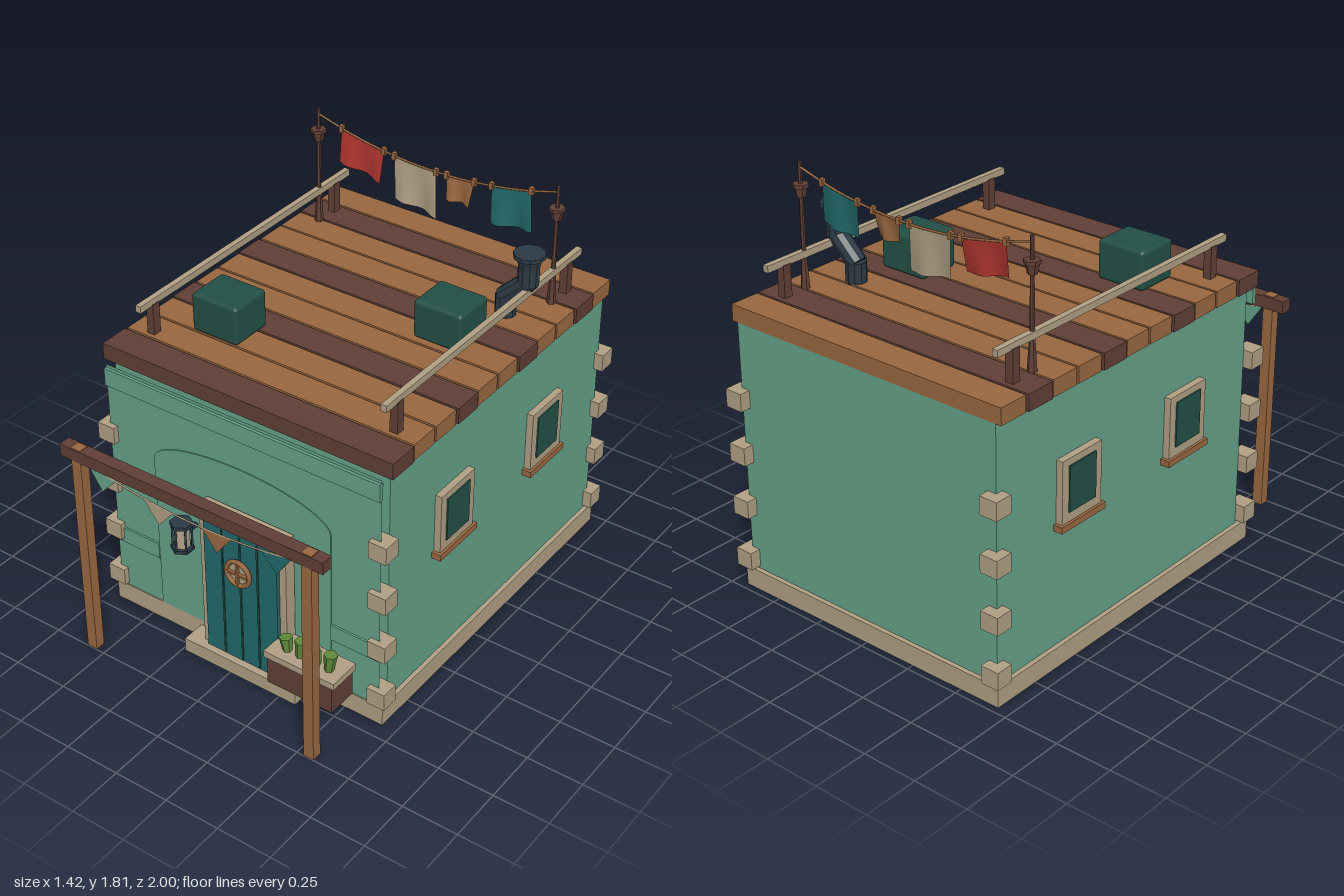
import * as THREE from 'three';
import { RoundedBoxGeometry } from 'three/addons/geometries/RoundedBoxGeometry.js';

const mat = (name, color, side = THREE.FrontSide) =>
  Object.assign(new THREE.MeshStandardMaterial({ color, side }), { name });

export function createModel() {
  const root = new THREE.Group();
  root.name = 'rooftopHouse';
  const D = THREE.DoubleSide;
  const plaster = mat('green plaster', 0x64a088);
  const darkWood = mat('dark wood', 0x603f36);
  const wood = mat('warm wood', 0x986740, D);
  const stone = mat('pale stone', 0xaf9f84, D);
  const teal = mat('teal paint', 0x22696b, D);
  const bottle = mat('bottle green', 0x224f45);
  const slate = mat('slate metal', 0x2c3a45);
  const red = mat('red cloth', 0xb0352f, D);
  const leaf = mat('leaf green', 0x5f8a3c);

  // Helpers: facet gives hard edges, box takes min/max ranges
  const facet = (g) => {
    const f = g.index ? g.toNonIndexed() : g;
    f.computeVertexNormals();
    return f;
  };
  const add = (name, geo, m, x = 0, y = 0, z = 0, parent = root) => {
    const mesh = new THREE.Mesh(geo, m);
    mesh.name = name;
    mesh.position.set(x, y, z);
    parent.add(mesh);
    return mesh;
  };
  const box = (name, m, [x0, x1], [y0, y1], [z0, z1], parent = root) =>
    add(name, new THREE.BoxGeometry(x1 - x0, y1 - y0, z1 - z0), m,
      (x0 + x1) / 2, (y0 + y1) / 2, (z0 + z1) / 2, parent);
  const cyl = (name, m, rTop, rBottom, y0, y1, x, z, sides = 6, parent = root) =>
    add(name, facet(new THREE.CylinderGeometry(rTop, rBottom, y1 - y0, sides)), m, x, (y0 + y1) / 2, z, parent);
  const tube = (name, m, curve, r, seg = 24) =>
    add(name, new THREE.TubeGeometry(curve, seg, r, 6, false), m);

  // Base, step and walls
  box('base', stone, [-0.69, 0.685], [0, 0.09], [-0.97, 0.68]);
  box('doorStep', stone, [-0.235, 0.333], [0, 0.065], [0.66, 0.787]);
  box('walls', plaster, [-0.67, 0.665], [0.09, 1.2], [-0.95, 0.62]);
  add('facade', new THREE.PlaneGeometry(1.335, 1.11), plaster, -0.0025, 0.645, 0.675);
  box('facadeBand', plaster, [-0.67, 0.665], [1.105, 1.185], [0.667, 0.688]);
  box('facadeTrim', plaster, [-0.67, -0.44], [0.325, 0.4], [0.674, 0.684]);
  box('facadeTrim', plaster, [0.435, 0.665], [0.325, 0.4], [0.674, 0.684]);
  const arch = new THREE.Shape();
  arch.moveTo(-0.44, 0.09);
  arch.lineTo(0.435, 0.09);
  arch.lineTo(0.435, 0.84);
  arch.absellipse(-0.0025, 0.84, 0.4375, 0.125, 0, Math.PI, false);
  add('archPanel', new THREE.ExtrudeGeometry(arch, { depth: 0.004, bevelEnabled: false, curveSegments: 16 }),
    plaster, 0, 0, 0.676);

  // Corner stones
  for (const x of [-0.672, 0.664]) for (const z of [0.66, -0.958])
    for (const y of [0.142, 0.385, 0.63, 0.875])
      add('cornerStone', new THREE.BoxGeometry(0.084, 0.079, 0.081), stone, x, y, z);

  // Roof planks
  for (let i = 0; i < 11; i++) {
    const z = 0.65 - i * 0.1465;
    const w = i % 3 ? 0.694 : 0.699;
    box('roofPlank', i % 3 ? wood : darkWood, [-w - 0.003, w - 0.003], [1.2, 1.272], [z - 0.136, z]);
  }

  // Side windows
  for (const s of [-1, 1]) for (const z of [0.19, -0.487]) {
    const win = new THREE.Group();
    win.name = 'sideWindow';
    for (const e of [-1, 1]) {
      box('windowFrame', stone, [0, 0.03], [0.635, 0.91], e < 0 ? [-0.118, -0.08] : [0.08, 0.118], win);
      box('windowFrame', stone, [0, 0.03], e < 0 ? [0.635, 0.68] : [0.88, 0.91], [-0.08, 0.08], win);
    }
    box('windowPane', bottle, [0, 0.036], [0.68, 0.88], [-0.08, 0.08], win);
    box('windowSill', wood, [0, 0.042], [0.61, 0.638], [-0.133, 0.133], win);
    win.position.set(s > 0 ? 0.665 : -0.67, 0, z);
    if (s < 0) win.rotation.y = Math.PI;
    root.add(win);
  }

  // Door with frame, grooves and round window
  box('doorFrame', stone, [-0.165, -0.133], [0.065, 0.77], [0.685, 0.74]);
  box('doorFrame', stone, [0.23, 0.262], [0.065, 0.77], [0.685, 0.74]);
  box('doorFrame', stone, [-0.133, 0.23], [0.75, 0.77], [0.685, 0.74]);
  box('door', teal, [-0.133, 0.23], [0.068, 0.75], [0.69, 0.758]);
  for (const x of [-0.04, 0.049, 0.136])
    box('doorGroove', bottle, [x - 0.004, x + 0.004], [0.075, 0.705], [0.757, 0.762]);
  add('portholePane', new THREE.CircleGeometry(0.058, 20), stone, 0.05, 0.535, 0.77);
  add('portholeRim', new THREE.TorusGeometry(0.057, 0.011, 6, 20), wood, 0.05, 0.535, 0.775);
  box('portholeBar', wood, [-0.005, 0.105], [0.53, 0.54], [0.772, 0.786]);
  box('portholeBar', wood, [0.045, 0.055], [0.48, 0.59], [0.772, 0.786]);

  // Wall lantern
  const lx = -0.235, lz = 0.77;
  cyl('lanternBase', slate, 0.049, 0.049, 0.53, 0.546, lx, lz);
  cyl('lanternCap', slate, 0.049, 0.049, 0.648, 0.665, lx, lz);
  cyl('lanternGlass', stone, 0.032, 0.032, 0.546, 0.648, lx, lz);
  for (let i = 0; i < 6; i++) {
    const a = i * Math.PI / 3;
    cyl('lanternBar', slate, 0.006, 0.006, 0.54, 0.655, lx + 0.04 * Math.sin(a), lz + 0.04 * Math.cos(a), 4);
  }
  box('lanternBracket', slate, [lx - 0.01, lx + 0.01], [0.59, 0.605], [0.68, 0.74]);

  // Planter
  box('planterBox', darkWood, [0.237, 0.553], [0.115, 0.25], [0.7, 0.84]);
  box('planterRim', stone, [0.225, 0.567], [0.245, 0.275], [0.695, 0.847]);
  [0.295, 0.365, 0.435, 0.505].forEach((x, i) => {
    const plant = cyl('plant', leaf, 0.029, 0.019, 0.265, i % 2 ? 0.357 : 0.338, x, 0.785);
    plant.rotation.z = i % 2 ? -0.1 : 0.12;
  });

  // Porch beam, posts and bunting
  box('porchBeam', darkWood, [-0.642, 0.632], [0.955, 1.01], [0.945, 1.0]);
  for (const x of [-0.563, 0.555])
    box('porchPost', wood, [x - 0.024, x + 0.024], [0, 1.014], [0.952, 0.998]);
  const buntingY = (x) => 0.888 + 0.067 * (x / 0.56) ** 2;
  const bunting = [];
  for (let i = 0; i <= 8; i++) bunting.push(new THREE.Vector3(-0.56 + i * 0.14, buntingY(-0.56 + i * 0.14), 0.972));
  tube('buntingString', stone, new THREE.CatmullRomCurve3(bunting), 0.004);
  [[-0.455, plaster], [-0.17, stone], [0.115, wood], [0.4, teal]].forEach(([x, m]) => {
    const a = x - 0.07, b = x + 0.07;
    const flag = new THREE.Shape([new THREE.Vector2(a, buntingY(a)),
      new THREE.Vector2(x, buntingY(x) - 0.09), new THREE.Vector2(b, buntingY(b))]);
    add('pennant', new THREE.ExtrudeGeometry(flag, { depth: 0.006, bevelEnabled: false }), m, 0, 0, 0.969);
  });

  // Roof crates
  for (const [x, z] of [[-0.363, 0.265], [0.382, -0.205]])
    add('roofCrate', new RoundedBoxGeometry(0.226, 0.172, 0.198, 2, 0.016), bottle, x, 1.358, z);

  // Bent chimney
  const cz = -0.473;
  cyl('chimneyFoot', slate, 0.045, 0.045, 1.27, 1.36, 0.475, cz, 10);
  const elbow = cyl('chimneyElbow', slate, 0.043, 0.043, 1.325, 1.485, 0.523, cz, 10);
  elbow.rotation.z = -0.8;
  cyl('chimneyPipe', slate, 0.045, 0.045, 1.445, 1.575, 0.573, cz, 10);
  cyl('chimneyCollar', slate, 0.052, 0.045, 1.525, 1.57, 0.573, cz, 10);
  cyl('chimneyCap', slate, 0.067, 0.067, 1.57, 1.588, 0.573, cz, 10);

  // Railings and laundry poles
  const pz = -0.652;
  for (const x of [-0.59, 0.584]) {
    box('rail', stone, [x - 0.013, x + 0.013], [1.405, 1.435], [-0.86, 0.553]);
    for (const z of [0.465, -0.762])
      box('railPost', darkWood, [x - 0.018, x + 0.018], [1.27, 1.41], [z - 0.02, z + 0.02]);
    cyl('laundryPoleFoot', darkWood, 0.011, 0.02, 1.27, 1.42, x, pz);
    cyl('laundryPole', darkWood, 0.008, 0.01, 1.4, 1.808, x, pz);
    cyl('poleLamp', darkWood, 0.029, 0.02, 1.66, 1.705, x, pz);
    cyl('poleLampCap', darkWood, 0.034, 0.034, 1.7, 1.715, x, pz);
  }

  // Washing line, clips and cloths
  const lineY = (x) => 1.694 + 0.09 * (x / 0.588) ** 2;
  const line = [];
  for (let i = 0; i <= 8; i++) line.push(new THREE.Vector3(-0.588 + i * 0.147, lineY(-0.588 + i * 0.147), pz));
  tube('washingLine', wood, new THREE.CatmullRomCurve3(line), 0.005);
  // Corners run top left, top right, bottom right, bottom left
  const cloths = [
    [red, [-0.468, 1.748], [-0.252, 1.703], [-0.255, 1.565], [-0.472, 1.603]],
    [stone, [-0.2, 1.703], [0.008, 1.692], [0.03, 1.49], [-0.185, 1.517]],
    [wood, [0.06, 1.692], [0.193, 1.7], [0.184, 1.592], [0.068, 1.592]],
    [teal, [0.276, 1.722], [0.462, 1.748], [0.487, 1.575], [0.285, 1.55]],
  ];
  for (const [m, tl, tr, br, bl] of cloths) {
    const geo = new THREE.PlaneGeometry(1, 1, 8, 4);
    const p = geo.attributes.position;
    for (let i = 0; i < p.count; i++) {
      const u = p.getX(i) + 0.5, v = 0.5 - p.getY(i);
      const mix = (k) => (tl[k] * (1 - u) + tr[k] * u) * (1 - v) + (bl[k] * (1 - u) + br[k] * u) * v;
      p.setXYZ(i, mix(0), mix(1), pz + v * (0.012 + 0.014 * Math.sin(u * 8)));
    }
    geo.computeVertexNormals();
    add('hangingCloth', geo, m);
    for (const c of [tl, tr])
      add('clothesPeg', new THREE.BoxGeometry(0.018, 0.032, 0.02), wood, c[0], lineY(c[0]), pz);
  }
  return root;
}
